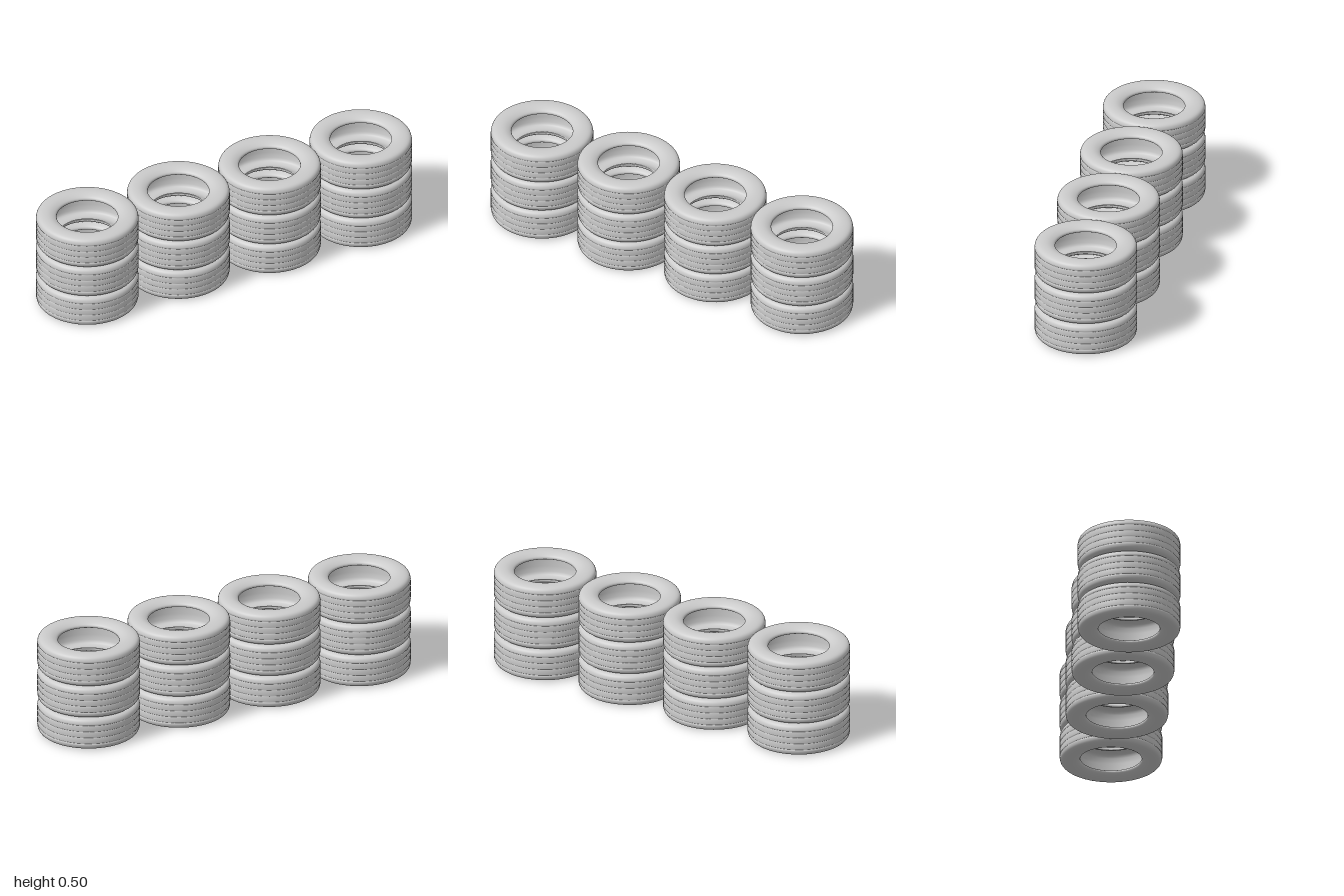
import * as THREE from 'three';

const R = 0.25, H = 0.168, MID = H / 2;
const COLUMNS = 4, ROWS = 3;

// Closed cross-section of one hollow tyre, as [radius, height above the middle]
function tyreProfile() {
  // Upper half of the outside, from the shoulder over the sidewall to the bead
  const shoulder = new THREE.SplineCurve([
    [0.249, 0.058], [0.246, 0.068], [0.238, 0.077], [0.222, 0.0825], [0.2, 0.084],
    [0.18, 0.0815], [0.163, 0.075], [0.153, 0.068], [0.15, 0.062],
  ].map(([x, y]) => new THREE.Vector2(x, y))).getPoints(20);

  // Upper half of the inside, from the bead's inner edge out to the cavity wall
  const cavity = new THREE.SplineCurve([
    [0.15, 0.056], [0.155, 0.053], [0.172, 0.062], [0.195, 0.068], [0.218, 0.064],
    [0.229, 0.05], [0.233, 0.02],
  ].map(([x, y]) => new THREE.Vector2(x, y))).getPoints(14);

  // Tread with four shallow grooves
  const tread = [];
  for (const g of [-0.048, -0.016, 0.016, 0.048]) {
    tread.push([R, g - 0.004], [R - 0.003, g - 0.0015], [R - 0.003, g + 0.0015], [R, g + 0.004]);
  }

  const mirrored = (pts) => pts.map((p) => new THREE.Vector2(p.x, -p.y)).reverse();
  const loop = [
    ...mirrored(shoulder),
    ...tread.map(([x, y]) => new THREE.Vector2(x, y)),
    ...shoulder,
    ...cavity,
    ...mirrored(cavity),
  ];
  loop.push(loop[0].clone());
  return loop;
}

export function createModel() {
  const model = new THREE.Group();
  model.name = 'tyreStacks';
  const rubber = new THREE.MeshStandardMaterial({ color: 0xcccccc, side: THREE.DoubleSide });
  const tyreGeometry = new THREE.LatheGeometry(tyreProfile(), 64);

  // Four stacks side by side, three tyres each
  for (let c = 0; c < COLUMNS; c++) {
    const stack = new THREE.Group();
    stack.name = `tyreStack${c + 1}`;
    stack.position.x = (c - (COLUMNS - 1) / 2) * 2 * R;
    for (let r = 0; r < ROWS; r++) {
      const tyre = new THREE.Mesh(tyreGeometry, rubber);
      tyre.name = `tyre${r + 1}`;
      tyre.position.y = MID + r * H;
      stack.add(tyre);
    }
    model.add(stack);
  }
  return model;
}
